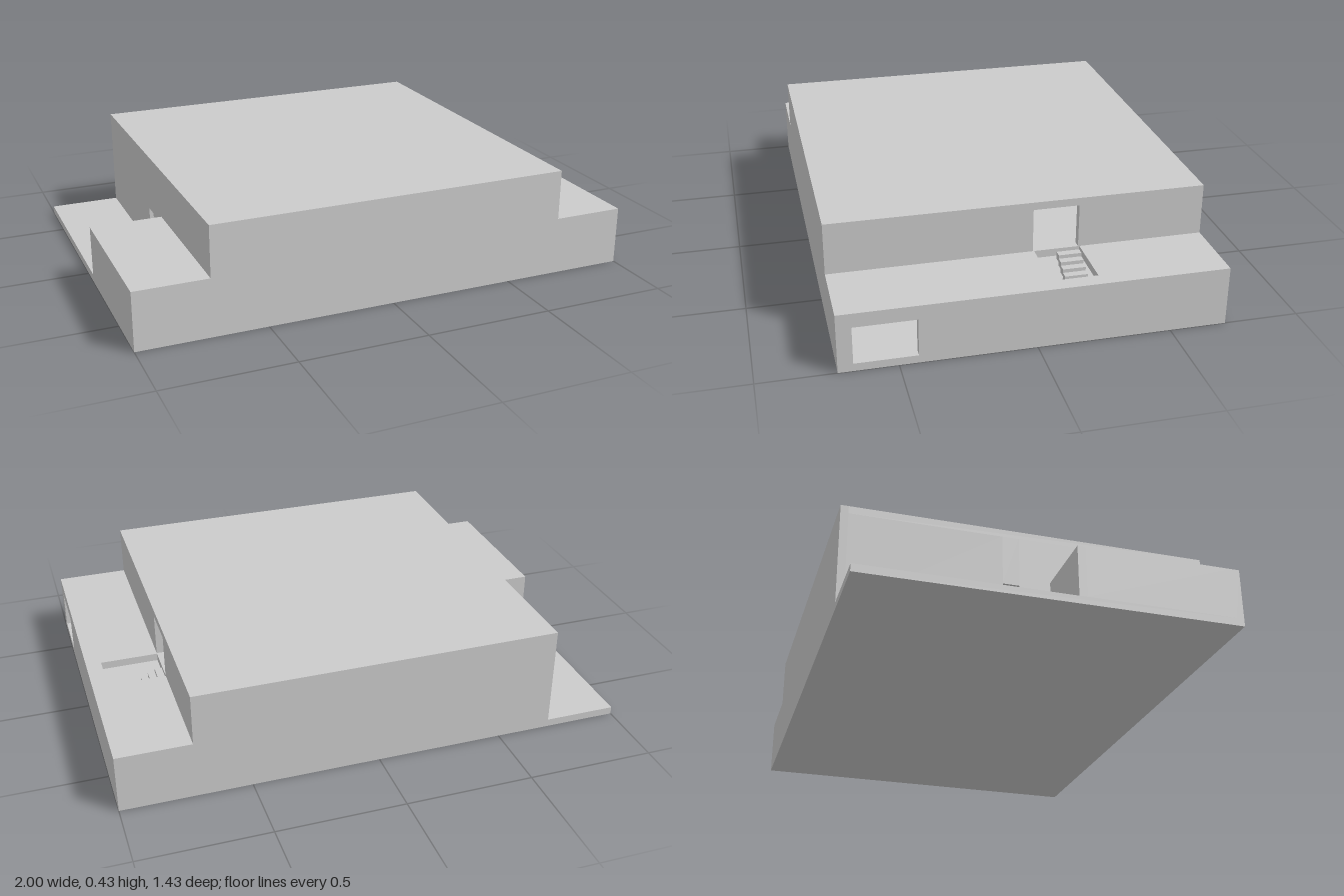
import * as THREE from 'three';

const T = 0.03;                       // wall and slab thickness
const X = 1, XU = 0.715, Z = 0.715;   // outer half width, upper half width, half depth
const ZI = Z - T;                     // inner half depth
const Y1 = 0.23, Y2 = 0.43;           // terrace and roof heights

export function createModel() {
  const model = new THREE.Group();
  const mat = new THREE.MeshStandardMaterial({ color: 0xcccccc, flatShading: true });

  const add = (geo, name, parent = model) => {
    const mesh = new THREE.Mesh(geo, mat);
    mesh.name = name;
    parent.add(mesh);
    return mesh;
  };
  // Box given by its limits on each axis
  const box = (name, x0, x1, y0, y1, z0, z1, parent) =>
    add(new THREE.BoxGeometry(x1 - x0, y1 - y0, z1 - z0), name, parent)
      .position.set((x0 + x1) / 2, (y0 + y1) / 2, (z0 + z1) / 2);
  const group = (name) => {
    const g = new THREE.Group();
    g.name = name;
    model.add(g);
    return g;
  };
  // Wall running along z with one opening (a0..a1 in z, b0..b1 in y)
  const wallWithOpening = (name, x0, y0, y1, z0, z1, a0, a1, b0, b1) => {
    const g = group(name);
    box('wallBack', x0, x0 + T, y0, y1, z0, a0, g);
    box('wallFront', x0, x0 + T, y0, y1, a1, z1, g);
    if (b1 < y1) box('lintel', x0, x0 + T, b1, y1, a0, a1, g);
    if (b0 > y0) box('sill', x0, x0 + T, y0, b0, a0, a1, g);
  };
  // Stepped end wall
  const endWall = (name, points, z) =>
    add(new THREE.ExtrudeGeometry(new THREE.Shape(points.map((p) => new THREE.Vector2(...p))),
      { depth: T, bevelEnabled: false }), name).position.z = z;

  // Ground slab and end walls
  box('groundFloor', -X, X, 0, T, -Z, Z);
  const rightSide = [[X, T], [X, Y1], [XU, Y1], [XU, Y2], [-XU, Y2]];
  endWall('frontWall', [[-X, T], ...rightSide, [-XU, Y1], [-X, Y1]], ZI);
  endWall('backWall', [[-XU, T], ...rightSide], -Z);

  // Roof and intermediate floor
  box('roof', -XU, XU, Y2 - T, Y2, -ZI, ZI);
  box('upperFloor', -XU + T, XU, Y1 - T, Y1, -ZI, ZI);

  // Long side walls with their openings
  wallWithOpening('leftLowerWall', X - T, T, Y1, -ZI, ZI, 0.43, 0.66, T, 0.175);
  wallWithOpening('leftUpperWall', XU - T, Y1, Y2 - T, -ZI, ZI, -0.23, -0.055, Y1, Y2 - T);
  wallWithOpening('rightCourtWall', -XU, T, Y2 - T, -ZI, ZI, -0.1, -0.035, T, 0.2);

  // Terrace with the stair opening
  const H = { x: 0.94, z0: -0.235, z1: -0.06 };
  const terrace = group('terrace');
  box('terraceBack', XU, X - T, Y1 - T, Y1, -ZI, H.z0, terrace);
  box('terraceFront', XU, X - T, Y1 - T, Y1, H.z1, ZI, terrace);
  box('terraceEdge', H.x, X - T, Y1 - T, Y1, H.z0, H.z1, terrace);

  // Closed room beside the open court
  const ZC = 0.085;
  box('annexEndWall', -X, -XU, T, Y1, ZC, ZC + T);
  box('annexSideWall', -X, -X + T, T, Y1, ZC + T, ZI);
  box('annexRoof', -X + T, -XU, Y1 - T, Y1, ZC + T, ZI);

  // Two-flight stair: back flight down to a landing, front flight returns
  const stair = group('stair');
  const n = 6, run = 0.17 / n, rise = (Y1 - T) / 14, mid = -0.1475;
  const landingX = XU + n * run;
  for (let i = 0; i < n; i++) {
    const up = Y1 - (i + 1) * rise;
    const x = XU + i * run;
    box('upperStep', x, x + run, up - 2 * rise, up, H.z0, mid, stair);
    box('lowerStep', x, x + run, T, T + (i + 1) * rise, mid, H.z1, stair);
  }
  const landingY = Y1 - 7 * rise;
  box('landing', landingX, H.x, landingY - T, landingY, H.z0, H.z1, stair);

  // Upper room partitions
  box('longPartition', -XU + T, 0.3, Y1, Y2 - T, -0.2, -0.17);
  box('crossPartition', 0.1, 0.1 + T, Y1, Y2 - T, -0.11, ZI);

  return model;
}
